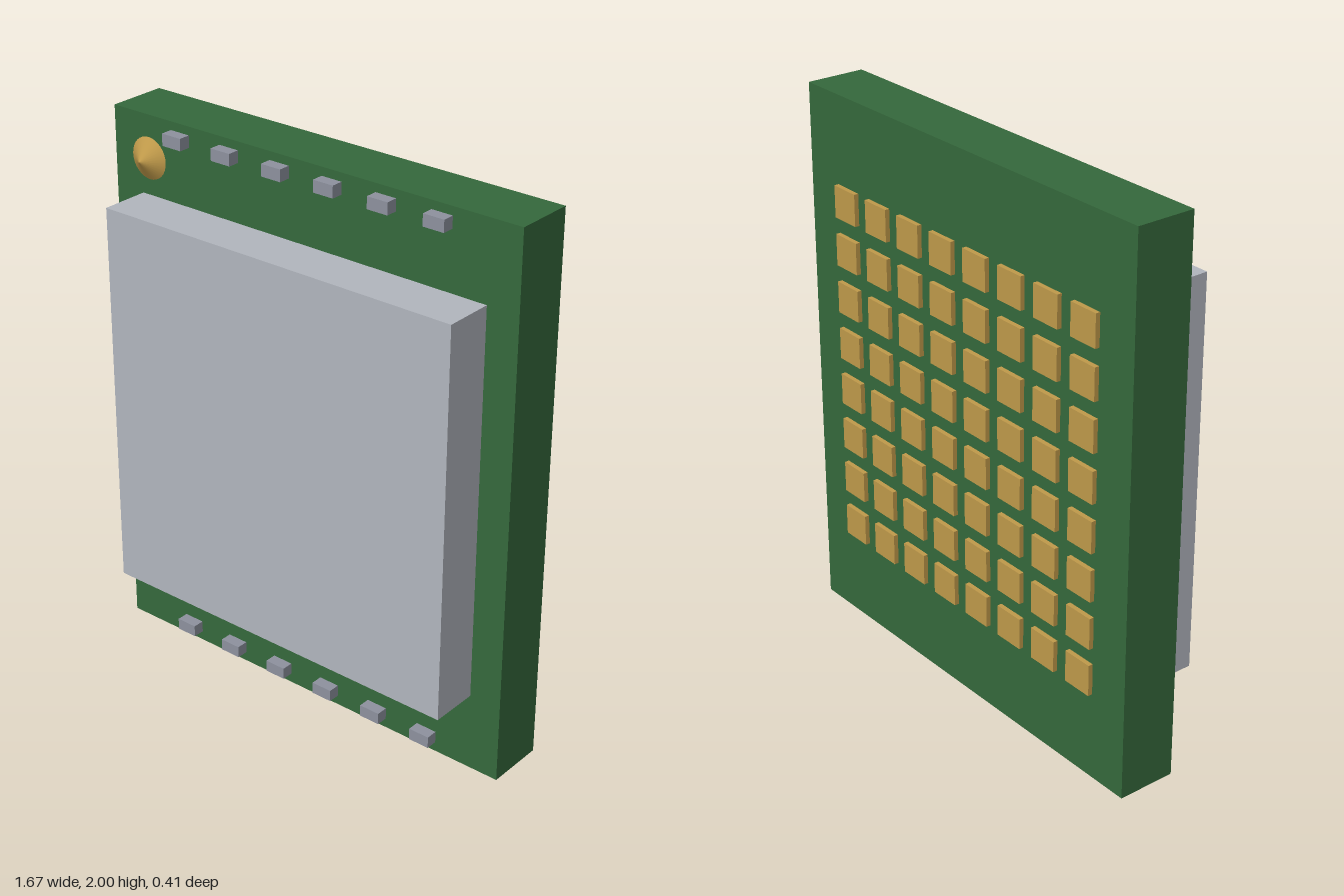
import * as THREE from 'three';

const material = (name, color) => {
  const m = new THREE.MeshStandardMaterial({ color });
  m.name = name;
  return m;
};

export function createModel() {
  const green = material('board green', 0x35693c);
  const silver = material('shield silver', 0xb2b6be);
  const grey = material('component grey', 0x8e929f);
  const gold = material('contact gold', 0xc09a4a);

  const model = new THREE.Group();
  model.name = 'circuitModule';

  const front = 0.027, back = -0.19;

  // Box placed by its centre in x and y, and its two faces in z
  const addBox = (parent, name, mat, x, y, w, h, z0, z1) => {
    const mesh = new THREE.Mesh(new THREE.BoxGeometry(w, h, z1 - z0), mat);
    mesh.name = name;
    mesh.position.set(x, y, (z0 + z1) / 2);
    parent.add(mesh);
  };
  const addGroup = (name) => {
    const group = new THREE.Group();
    group.name = name;
    model.add(group);
    return group;
  };

  // Board and metal shield can
  addBox(model, 'board', green, 0, 1, 1.666, 2, back, front);
  addBox(model, 'shield', silver, 0, 1.002, 1.426, 1.426, front, 0.207);

  // Small components along the top and bottom edges
  const components = addGroup('edgeComponents');
  for (const y of [0.057, 1.948]) {
    for (let i = 0; i < 6; i++) {
      addBox(components, 'edgeComponent', grey, (i - 2.5) * 0.2145, y, 0.08, 0.043, front, 0.07);
    }
  }

  // Conical corner marker
  const marker = new THREE.Mesh(new THREE.ConeGeometry(0.075, 0.051, 32), gold);
  marker.name = 'cornerMarker';
  marker.rotation.x = Math.PI / 2;
  marker.position.set(-0.68, 1.846, front + 0.0255);
  model.add(marker);

  // Grid of contact pads on the back
  const pads = addGroup('contactPads');
  for (let row = 0; row < 8; row++) {
    for (let col = 0; col < 8; col++) {
      addBox(pads, 'contactPad', gold,
        (col - 3.5) * 0.177, 1.002 + (row - 3.5) * 0.177, 0.116, 0.116, -0.207, back);
    }
  }

  return model;
}
